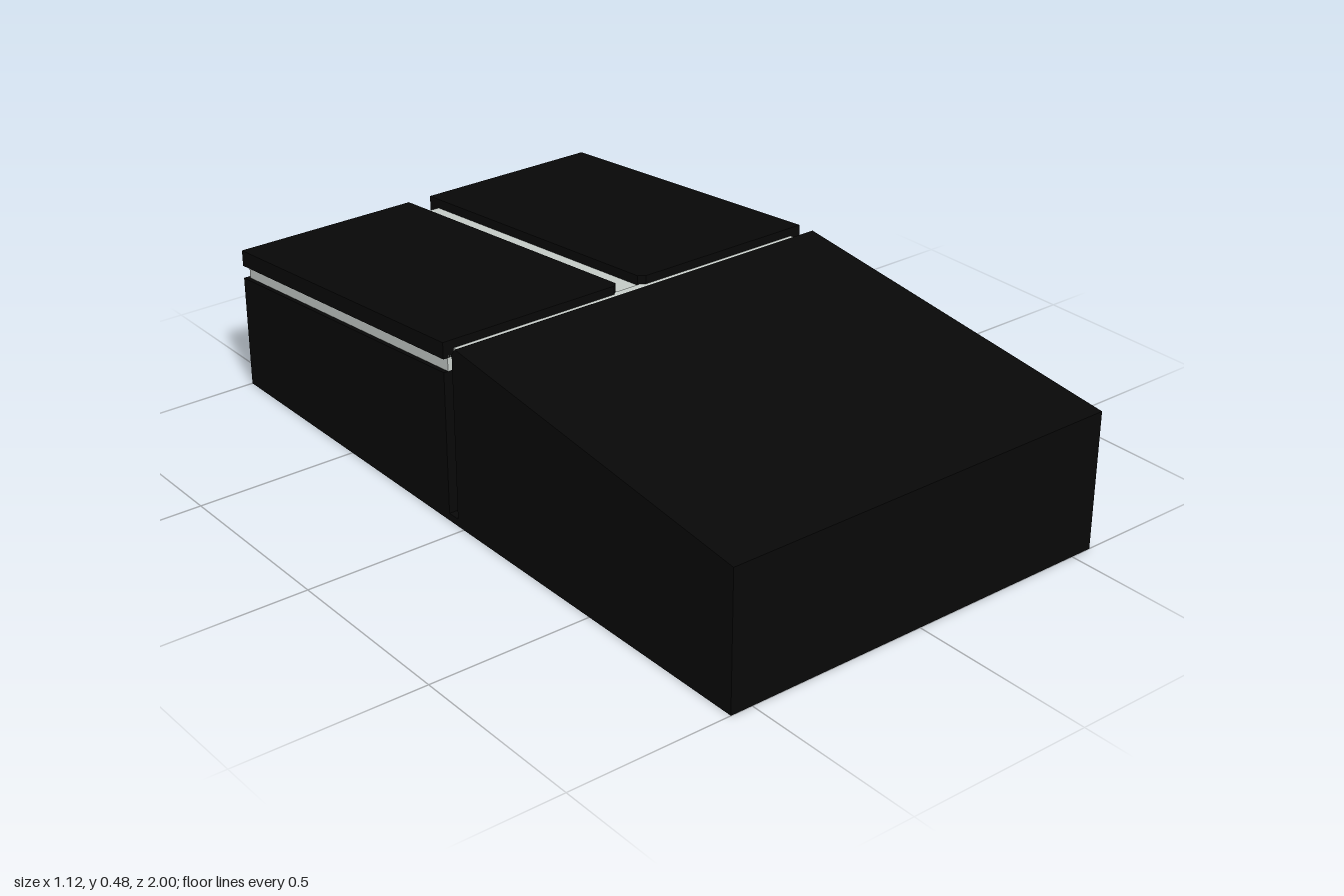
import * as THREE from 'three';

const black = new THREE.MeshStandardMaterial({ color: 0x080808 });
const silver = new THREE.MeshStandardMaterial({ color: 0xc8ceca });

const SEAM = -0.06;  // z where the rear half begins
const SLOPE = 0.096; // fall of the rear half toward the back

export function createModel() {
  const group = new THREE.Group();
  const add = (name, geometry, material) => {
    const mesh = new THREE.Mesh(geometry, material);
    mesh.name = name;
    group.add(mesh);
  };

  // Plan outline [x, z] raised between two heights, each given at the seam
  // and falling toward the back; the bottom may stay level.
  const slab = (outline, bottom, top, levelBottom = false) => {
    const shape = new THREE.Shape(outline.map(([x, z]) => new THREE.Vector2(x, -z)));
    const geo = new THREE.ExtrudeGeometry(shape, { depth: 1, bevelEnabled: false });
    geo.rotateX(-Math.PI / 2);
    const p = geo.attributes.position;
    for (let i = 0; i < p.count; i++) {
      const drop = SLOPE * Math.min(0, p.getZ(i) - SEAM);
      p.setY(i, p.getY(i) > 0.5 ? top + drop : bottom + (levelBottom ? 0 : drop));
    }
    geo.computeVertexNormals();
    return geo;
  };
  const rect = (x0, x1, z0, z1) => [[x0, z0], [x1, z0], [x1, z1], [x0, z1]];

  // Front palm block: side profile [z, y] extruded across the width
  const profile = [[1, 0], [1, 0.37], [-0.01, 0.483], [-0.024, 0.465], [-0.024, 0]];
  const palm = new THREE.ExtrudeGeometry(
    new THREE.Shape(profile.map(([z, y]) => new THREE.Vector2(-z, y))),
    { depth: 1.12, bevelEnabled: false });
  palm.rotateY(Math.PI / 2).translate(-0.56, 0, 0);
  add('palmRest', palm, black);

  // Floor under the rear half, and the core seen at the bottom of the grooves
  const base = new THREE.BoxGeometry(1.12, 0.02, 0.976);
  base.translate(0, 0.01, -0.512);
  add('base', base, black);
  add('core', slab(rect(-0.53, 0.53, -0.02, -0.96), 0.015, 0.39, true), black);

  // Light T-shaped filler between the blocks
  add('crossStrip', slab(rect(-0.53, 0.53, -0.022, SEAM - 0.01), 0.385, 0.46), silver);
  add('centreStrip', slab(rect(-0.04, 0.04, SEAM, -0.96), 0.385, 0.456), silver);

  // Left and right rear halves: lower body, light band and button plate
  for (const [side, s] of [['left', 1], ['right', -1]]) {
    const half = (inset) => [
      [0.035, SEAM - 0.015], [0.05, SEAM], [0.56 - inset, SEAM],
      [0.56 - inset, -1 + inset], [0.035, -1 + inset],
    ].map(([x, z]) => [x * s, z]);
    add(side + 'LowerBody', slab(half(0), 0.018, 0.403, true), black);
    add(side + 'Band', slab(half(0.012), 0.395, 0.445), silver);
    add(side + 'Button', slab(half(0), 0.438, 0.482), black);
  }
  return group;
}
